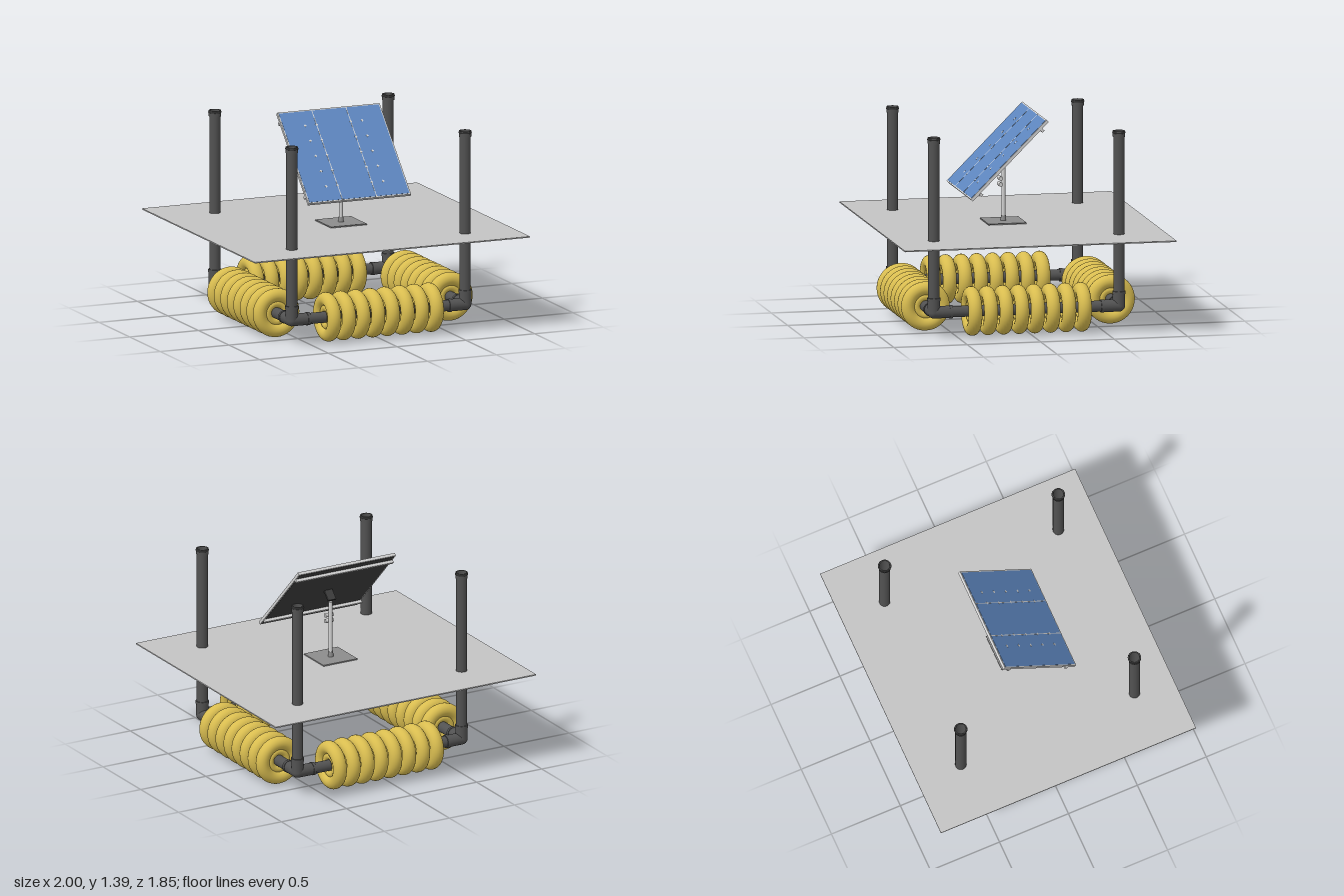
import * as THREE from 'three';

export function createModel() {
  const mat = (name, color, side = THREE.FrontSide) => {
    const m = new THREE.MeshStandardMaterial({ color, side });
    m.name = name;
    return m;
  };
  const pipe = mat('dark grey pipe', 0x525252, THREE.DoubleSide);
  const yellow = mat('yellow float', 0xd9bd50);
  const deckGrey = mat('deck grey', 0xc4c4c4);
  const steel = mat('light steel', 0xd2d2d2);
  const plateGrey = mat('base plate grey', 0x8c8c8c);
  const blue = mat('cell blue', 0x5e87c0);
  const backing = mat('panel backing', 0x3c3c3c);

  const model = new THREE.Group();
  model.name = 'floatingSolarPlatform';
  const add = (parent, name, geo, material, x = 0, y = 0, z = 0) => {
    const m = new THREE.Mesh(geo, material);
    m.name = name;
    m.position.set(x, y, z);
    parent.add(m);
    return m;
  };
  const group = (parent, name, x = 0, y = 0, z = 0) => {
    const g = new THREE.Group();
    g.name = name;
    g.position.set(x, y, z);
    parent.add(g);
    return g;
  };
  const cyl = (r, h, open = false) => new THREE.CylinderGeometry(r, r, h, 32, 1, open);
  const box = (x, y, z) => new THREE.BoxGeometry(x, y, z);

  const AXIS_Y = 0.167, HALF = 0.63, R = 0.037, DECK_Y = 0.645;

  // Deck
  add(model, 'deck', box(2, 0.008, 1.85), deckGrey, 0, DECK_Y, 0);

  // Pipe frame, slightly off the deck centre
  const frame = group(model, 'pipeFrame', 0.02, 0, 0.02);

  // Float-carrying beams: one per side
  const ringGeo = new THREE.TorusGeometry(0.119, 0.046, 20, 40);
  const hubGeo = new THREE.TorusGeometry(0.062, 0.026, 14, 32);
  for (let i = 0; i < 4; i++) {
    const side = group(frame, 'floatBeam', 0, AXIS_Y, 0);
    side.rotation.y = i * Math.PI / 2;
    add(side, 'beam', cyl(R, HALF * 2), pipe, 0, 0, HALF).rotation.z = Math.PI / 2;
    for (let k = 0; k < 8; k++) {
      const x = (k - 3.5) * 0.1065;
      add(side, 'floatRing', ringGeo, yellow, x, 0, HALF).rotation.y = Math.PI / 2;
      add(side, 'floatHub', hubGeo, yellow, x, 0, HALF).rotation.y = Math.PI / 2;
    }
  }

  // Corners: three-way elbow and hollow post with a collar
  const topY = 1.345;
  for (const sx of [-1, 1]) for (const sz of [-1, 1]) {
    const c = group(frame, 'cornerPost', sx * HALF, 0, sz * HALF);
    add(c, 'elbow', new THREE.SphereGeometry(0.041, 28, 18), pipe, 0, AXIS_Y, 0);
    add(c, 'elbowSleeveUp', cyl(0.041, 0.09), pipe, 0, AXIS_Y + 0.045, 0);
    add(c, 'elbowSleeveX', cyl(0.041, 0.12), pipe, -sx * 0.06, AXIS_Y, 0).rotation.z = Math.PI / 2;
    add(c, 'elbowSleeveZ', cyl(0.041, 0.12), pipe, 0, AXIS_Y, -sz * 0.06).rotation.x = Math.PI / 2;
    // raised lips at the sleeve ends
    add(c, 'sleeveLip', cyl(0.044, 0.02), pipe, 0, AXIS_Y + 0.088, 0);
    add(c, 'sleeveLip', cyl(0.044, 0.02), pipe, -sx * 0.115, AXIS_Y, 0).rotation.z = Math.PI / 2;
    add(c, 'sleeveLip', cyl(0.044, 0.02), pipe, 0, AXIS_Y, -sz * 0.115).rotation.x = Math.PI / 2;

    add(c, 'post', cyl(R, topY - AXIS_Y, true), pipe, 0, (topY + AXIS_Y) / 2, 0);
    add(c, 'postBore', cyl(0.034, topY - DECK_Y, true), pipe, 0, (topY + DECK_Y) / 2, 0);
    add(c, 'collar', cyl(0.041, 0.04, true), pipe, 0, topY - 0.02, 0);
    add(c, 'collarLip', new THREE.TorusGeometry(0.041, 0.004, 8, 32), pipe, 0, topY - 0.012, 0).rotation.x = Math.PI / 2;
    add(c, 'postRim', new THREE.RingGeometry(0.034, 0.041, 32), pipe, 0, topY, 0).rotation.x = -Math.PI / 2;
  }

  // Solar mast
  const mast = group(model, 'mast', 0.02, 0, 0.036);
  add(mast, 'basePlate', box(0.26, 0.008, 0.26), plateGrey, 0, 0.656, 0);
  add(mast, 'pole', cyl(0.013, 0.385), steel, 0, 0.8525, 0);
  add(mast, 'poleSocket', new THREE.CylinderGeometry(0.016, 0.019, 0.035, 24), plateGrey, 0, 0.677, 0);
  for (const y of [0.945, 0.905])
    add(mast, 'clampBolt', cyl(0.014, 0.06), steel, 0, y, 0.024).rotation.z = Math.PI / 2;

  // Tilted panel: local y runs up the slope, local z faces the sun
  const panel = group(model, 'solarPanel', 0.022, 1.125, 0.076);
  panel.rotation.x = -Math.PI / 4;
  const W = 0.745, H = 0.73;
  add(panel, 'panelFrame', box(W, H, 0.02), steel);
  add(panel, 'cellFace', box(W - 0.018, H - 0.018, 0.004), blue, 0, 0, 0.0095);
  add(panel, 'panelBack', box(W - 0.018, H - 0.018, 0.004), backing, 0, 0, -0.0095);
  for (const y of [-0.295, 0.295])
    add(panel, 'backRail', box(W, 0.02, 0.02), steel, 0, y, -0.021);
  add(panel, 'mountBracket', box(0.06, 0.014, 0.08), backing, 0, 0, -0.046);

  // Cell seams and the diamond gaps at the cell corners
  const col = W / 9, row = H / 6;
  for (const s of [-1, 1])
    add(panel, 'cellSeam', box(0.005, H - 0.018, 0.002), steel, s * col * 1.5, 0, 0.0115);
  for (const i of [-2.5, -1.5, 1.5, 2.5]) for (let j = -2; j <= 2; j++)
    add(panel, 'cellGap', box(0.015, 0.015, 0.002), steel, i * col, j * row, 0.0115).rotation.z = Math.PI / 4;

  return model;
}
